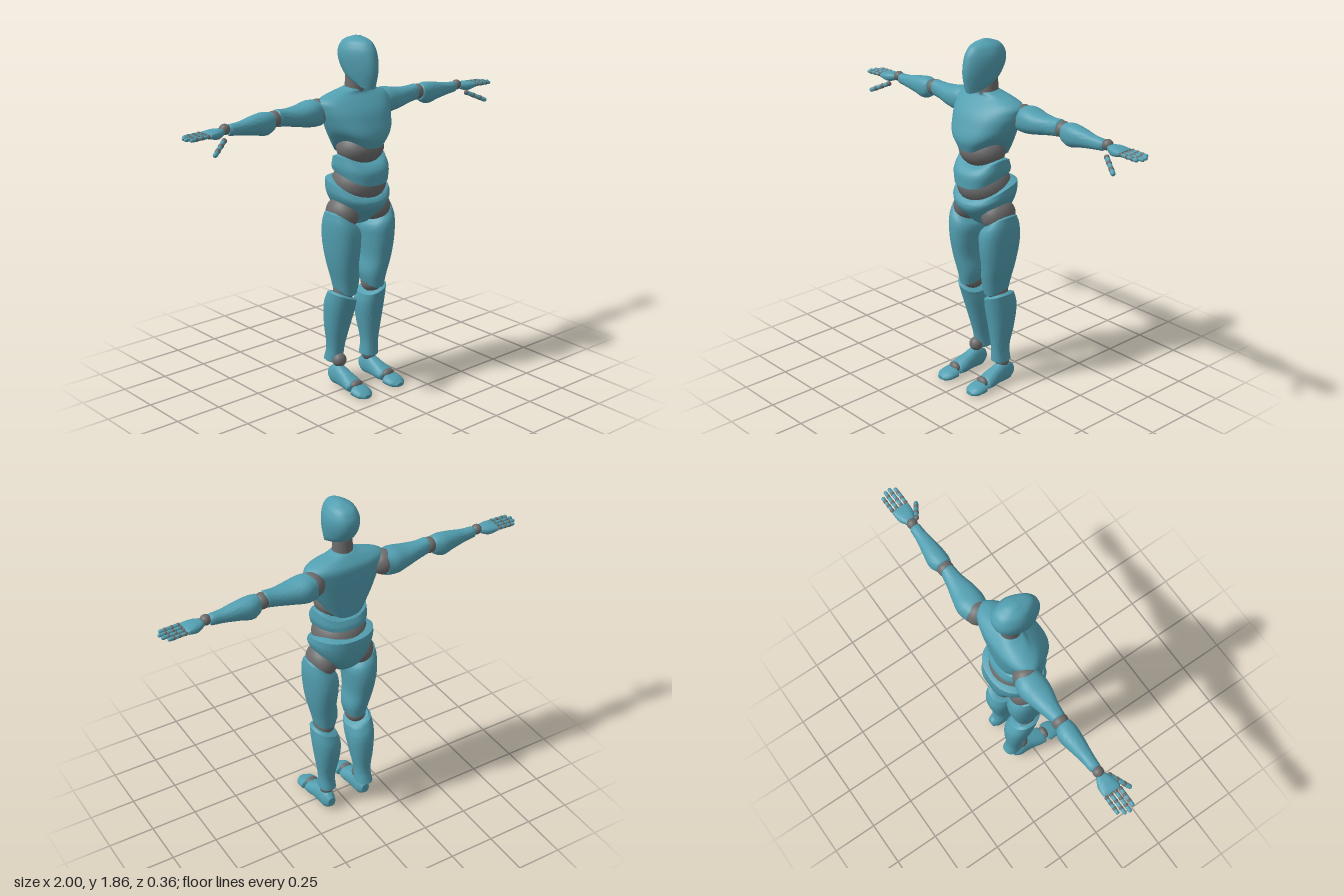
import * as THREE from 'three';
import { toCreasedNormals } from 'three/addons/utils/BufferGeometryUtils.js';

const shell = new THREE.MeshStandardMaterial({ color: 0x529fb1 });
shell.name = 'teal shell';
const joint = new THREE.MeshStandardMaterial({ color: 0x6c6c6c });
joint.name = 'grey joint';

// Lofts rounded sections along an axis. Rows: [t, uMin, uMax, vMin, vMax], t rising.
// Axis y: u = x, v = z. Axis x: u = y, v = z. Axis z: u = x, v = y.
// bottom / top: edge offsets [at v max, at middle, at v min]; tilt slopes the last edge along u.
function loft(rows, { axis = 'y', side = 1, n = 2.3, bottom = [0, 0, 0], top = [0, 0, 0],
  tilt = 0, lean = 0, bevel = 0.008, pinch = 0 } = {}) {
  const N = 32, SUB = 4;
  const curve = new THREE.CubicInterpolant(rows.map(r => r[0]), rows.flatMap(r => r.slice(1)), 4);
  const t0 = rows[0][0], t1 = rows[rows.length - 1][0];
  const rings = [];
  rows.forEach((r, i) => {
    const next = rows[i + 1];
    for (let k = 0; k < (next ? SUB : 1); k++) {
      const t = next ? r[0] + (next[0] - r[0]) * k / SUB : r[0];
      const [a, b, c, d] = curve.evaluate(t);
      rings.push([t, (a + b) / 2, (b - a) / 2, (c + d) / 2, (d - c) / 2]);
    }
  });
  // Bevelled ends
  const inset = (r, dt) => [r[0] + dt, r[1], r[2] * 0.8, r[3], r[4] * 0.8];
  rings.unshift(inset(rings[0], -bevel));
  rings.push(inset(rings[rings.length - 1], bevel));

  const pos = [], index = [];
  const bend = ([f, m, b], s) => m + (f - b) / 2 * s + ((f + b) / 2 - m) * s * s;
  const put = (ring, cu, cv) => {
    const k = THREE.MathUtils.clamp((ring[0] - t0) / (t1 - t0), 0, 1);
    const t = ring[0] + (1 - k) ** 2 * bend(bottom, cv) + k * k * (bend(top, cv) + tilt * cu);
    const u = ring[1] + ring[2] * cu * (1 - pinch * Math.max(cv, 0));
    const v = ring[3] + ring[4] * cv + lean * (1 - k);
    const p = axis === 'y' ? [u, t, v] : axis === 'x' ? [t, u, v] : [u, v, t];
    pos.push(p[0] * side, p[1], p[2]);
  };
  const flip = (axis !== 'y') !== (side < 0);
  const tri = (a, b, c) => index.push(...(flip ? [a, c, b] : [a, b, c]));
  const power = x => Math.sign(x) * Math.abs(x) ** (2 / n);
  for (const ring of rings) {
    for (let i = 0; i < N; i++) {
      const a = i / N * Math.PI * 2;
      put(ring, power(Math.cos(a)), power(Math.sin(a)));
    }
  }
  const last = rings.length - 1;
  for (let j = 0; j < last; j++) {
    for (let i = 0; i < N; i++) {
      const a = j * N + i, b = j * N + (i + 1) % N;
      tri(a, a + N, b);
      tri(b, a + N, b + N);
    }
  }
  put(rings[0], 0, 0);
  put(rings[last], 0, 0);
  const c0 = (last + 1) * N, c1 = c0 + 1;
  for (let i = 0; i < N; i++) {
    const b = (i + 1) % N;
    tri(c0, i, b);
    tri(c1, last * N + b, last * N + i);
  }
  const g = new THREE.BufferGeometry();
  g.setAttribute('position', new THREE.Float32BufferAttribute(pos, 3));
  g.setIndex(index);
  return toCreasedNormals(g, 0.7);
}

export function createModel() {
  const model = new THREE.Group();
  model.name = 'mannequin';
  const add = (name, geometry, material = shell, parent = model) => {
    const mesh = new THREE.Mesh(geometry, material);
    mesh.name = name;
    parent.add(mesh);
    return mesh;
  };
  const ball = (name, x, y, z, rx, ry = rx, rz = rx, parent = model) => {
    const detail = rx < 0.02 ? 10 : 24;
    const mesh = add(name, new THREE.SphereGeometry(1, detail, detail / 2 + 3), joint, parent);
    mesh.position.set(x, y, z);
    mesh.scale.set(rx, ry, rz);
  };
  // Symmetric row for parts on the centre line
  const mid = rows => rows.map(([y, w, back, front]) => [y, -w, w, back, front]);

  // Head and neck
  add('head', loft(mid([
    [1.605, 0.045, 0.0, 0.09], [1.64, 0.062, -0.075, 0.1], [1.7, 0.076, -0.125, 0.11],
    [1.77, 0.082, -0.142, 0.1], [1.81, 0.072, -0.13, 0.083], [1.84, 0.05, -0.1, 0.05],
    [1.852, 0.026, -0.065, 0.01]]), { pinch: 0.35, bevel: 0.003, bottom: [0, 0.01, 0.02] }));
  const neck = add('neck', new THREE.CylinderGeometry(0.047, 0.055, 0.12, 24), joint);
  neck.position.set(0, 1.61, -0.05);

  // Torso shells with the soft joints between them
  add('chest', loft(mid([
    [1.3, 0.13, -0.13, 0.115], [1.36, 0.168, -0.14, 0.13], [1.44, 0.196, -0.15, 0.105],
    [1.5, 0.21, -0.155, 0.075], [1.55, 0.205, -0.15, 0.03], [1.575, 0.145, -0.13, 0.005],
    [1.595, 0.065, -0.11, 0.0]]), { n: 2.5, pinch: 0.2, bottom: [0.01, 0.05, -0.05] }));
  ball('upper abdomen', 0, 1.295, -0.01, 0.128, 0.09, 0.112);
  add('waist', loft(mid([
    [1.15, 0.13, -0.145, 0.125], [1.2, 0.14, -0.14, 0.12], [1.25, 0.136, -0.125, 0.088]]),
  { n: 2.5, bottom: [-0.03, 0.02, 0.03], top: [-0.03, 0.015, -0.02] }));
  ball('lower abdomen', 0, 1.11, -0.022, 0.143, 0.11, 0.138);
  add('pelvis', loft(mid([
    [0.9, 0.045, -0.1, 0.03], [0.95, 0.085, -0.15, 0.075], [1.0, 0.13, -0.17, 0.11],
    [1.06, 0.164, -0.178, 0.12], [1.1, 0.163, -0.178, 0.105]]),
  { bottom: [0.01, 0, 0.01], top: [-0.05, 0.02, 0.03] }));

  for (const side of [1, -1]) {
    const tag = side > 0 ? 'left ' : 'right ';
    const part = (name, rows, options) => add(tag + name, loft(rows, { side, ...options }));
    const knob = (name, x, ...rest) => ball(tag + name, x * side, ...rest);

    // Leg; the right shin leans back and bares the ankle
    knob('hip', 0.105, 0.965, -0.025, 0.078, 0.085, 0.098);
    part('thigh', [
      [0.55, 0.042, 0.145, -0.092, 0.045], [0.61, 0.03, 0.158, -0.105, 0.058],
      [0.7, 0.042, 0.18, -0.12, 0.075], [0.82, 0.036, 0.195, -0.14, 0.092],
      [0.9, 0.036, 0.197, -0.13, 0.085], [0.94, 0.06, 0.19, -0.11, 0.06]],
    { tilt: 0.035, bottom: [-0.02, 0, 0] });
    knob('knee', 0.095, 0.54, -0.028, 0.055, 0.05, 0.06);
    part('shin', [
      [0.13, 0.052, 0.143, -0.108, 0.0], [0.2, 0.055, 0.14, -0.1, 0.0],
      [0.33, 0.037, 0.16, -0.125, 0.015], [0.45, 0.027, 0.172, -0.135, 0.035],
      [0.51, 0.035, 0.17, -0.115, 0.045]],
    { tilt: 0.025, lean: side > 0 ? 0 : -0.06 });
    knob('ankle', 0.102, side > 0 ? 0.12 : 0.14, -0.06, 0.038);

    // Foot
    part('foot', [
      [-0.115, 0.08, 0.135, 0.025, 0.092], [-0.09, 0.07, 0.145, 0.008, 0.11],
      [-0.05, 0.068, 0.148, 0.006, 0.118], [0.0, 0.065, 0.152, 0.008, 0.1],
      [0.04, 0.06, 0.16, 0.006, 0.085], [0.075, 0.062, 0.163, 0.01, 0.07]],
    { axis: 'z', n: 2.6, pinch: 0.2 });
    knob('toe joint', 0.11, 0.05, 0.09, 0.036, 0.026, 0.022);
    part('toes', [
      [0.103, 0.058, 0.166, 0, 0.056], [0.13, 0.058, 0.166, 0, 0.05],
      [0.16, 0.066, 0.16, 0, 0.04], [0.18, 0.085, 0.142, 0.003, 0.028]],
    { axis: 'z', n: 2.6, pinch: 0.2, bevel: 0.005 });

    // Arm
    knob('shoulder', 0.2, 1.49, -0.1, 0.065);
    part('upper arm', [
      [0.2, 1.42, 1.55, -0.165, -0.04], [0.25, 1.42, 1.553, -0.178, -0.03],
      [0.32, 1.432, 1.54, -0.165, -0.035], [0.4, 1.447, 1.535, -0.145, -0.055],
      [0.455, 1.455, 1.54, -0.135, -0.062]], { axis: 'x' });
    knob('elbow', 0.472, 1.495, -0.1, 0.041);
    part('forearm', [
      [0.495, 1.44, 1.533, -0.14, -0.055], [0.53, 1.424, 1.538, -0.153, -0.05],
      [0.6, 1.437, 1.53, -0.145, -0.055], [0.68, 1.45, 1.515, -0.13, -0.065],
      [0.74, 1.457, 1.512, -0.125, -0.07]], { axis: 'x' });
    knob('wrist', 0.765, 1.492, -0.098, 0.027);

    // Hand
    part('palm', [
      [0.788, 1.466, 1.5, -0.125, -0.07], [0.82, 1.455, 1.502, -0.14, -0.055],
      [0.87, 1.466, 1.496, -0.145, -0.05]], { axis: 'x', n: 2.8 });
    const digit = (name, from, to, r) => {
      const group = new THREE.Group();
      group.name = tag + name;
      model.add(group);
      const a = new THREE.Vector3(from[0] * side, from[1], from[2]);
      const step = new THREE.Vector3(to[0] * side, to[1], to[2]).sub(a).divideScalar(3);
      for (let i = 0; i < 3; i++) {
        const p = a.clone().addScaledVector(step, i);
        ball('knuckle', p.x, p.y, p.z, r * 1.15, r * 1.15, r * 1.15, group);
        const bone = add('segment', new THREE.CapsuleGeometry(r, step.length() - 2 * r, 4, 10), shell, group);
        bone.position.copy(p).addScaledVector(step, 0.5);
        bone.quaternion.setFromUnitVectors(new THREE.Vector3(0, 1, 0), step.clone().normalize());
      }
    };
    [0.975, 0.995, 1.0, 0.985].forEach((tip, i) => {
      const z = -0.137 + i * 0.026;
      digit('finger', [0.885, 1.483, z], [tip, 1.48, z], 0.0095);
    });
    digit('thumb', [0.8, 1.45, -0.055], [0.897, 1.402, 0.002], 0.012);
  }
  return model;
}
